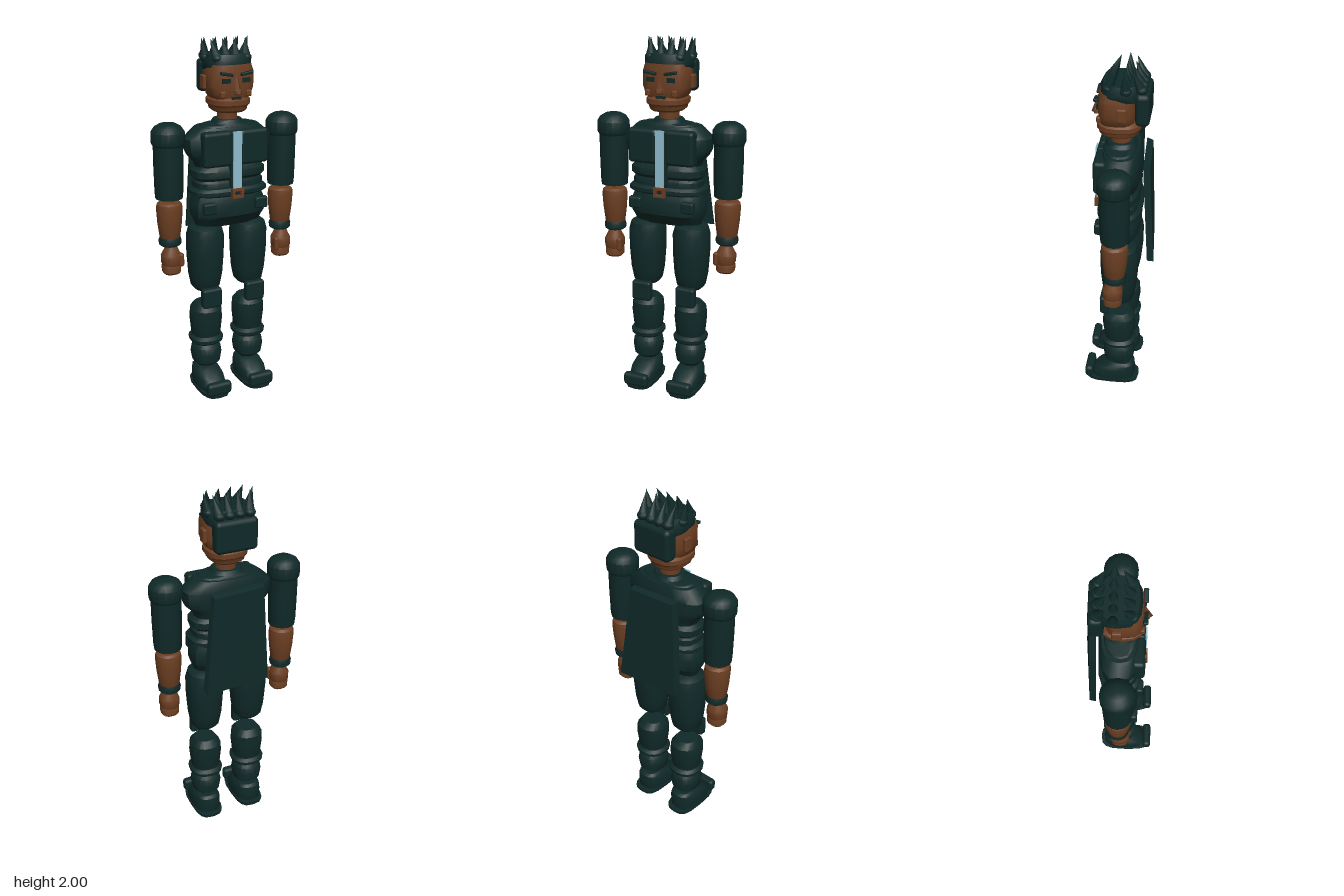
import * as THREE from 'three';
import { toCreasedNormals } from 'three/addons/utils/BufferGeometryUtils.js';
import { RoundedBoxGeometry } from 'three/addons/geometries/RoundedBoxGeometry.js';
import { ConvexGeometry } from 'three/addons/geometries/ConvexGeometry.js';

const material = (name, color) => {
  const m = new THREE.MeshStandardMaterial({ color });
  m.name = name;
  return m;
};

// Closed solid through cross-sections [y, halfWidth, halfDepth, centreZ]; power 2 is round, higher is boxier
function loft(rows, power = 2, sides = 16) {
  const pos = [], idx = [];
  const bend = (v) => Math.sign(v) * Math.pow(Math.abs(v), 2 / power);
  for (const [y, hx, hz = hx, cz = 0] of rows) {
    for (let i = 0; i < sides; i++) {
      const a = (i / sides) * Math.PI * 2;
      pos.push(hx * bend(Math.cos(a)), y, cz + hz * bend(Math.sin(a)));
    }
  }
  const last = (rows.length - 1) * sides, bottom = rows.length * sides, top = bottom + 1;
  const end = rows[rows.length - 1];
  pos.push(0, rows[0][0], rows[0][3] || 0, 0, end[0], end[3] || 0);
  for (let i = 0; i < sides; i++) {
    const j = (i + 1) % sides;
    for (let r = 0; r < last; r += sides) {
      idx.push(r + i, r + sides + i, r + j, r + j, r + sides + i, r + sides + j);
    }
    idx.push(bottom, i, j, top, last + j, last + i);
  }
  const g = new THREE.BufferGeometry();
  g.setAttribute('position', new THREE.Float32BufferAttribute(pos, 3));
  g.setIndex(idx);
  return toCreasedNormals(g, 0.6);
}

export function createModel() {
  const model = new THREE.Group();
  model.name = 'figure';
  const cloth = material('dark teal cloth', 0x0f2928);
  const skin = material('brown skin', 0x6b3e22);
  const blue = material('pale blue', 0x8fbccd);

  const add = (name, geometry, mat, x = 0, y = 0, z = 0, parent = model) => {
    const mesh = new THREE.Mesh(geometry, mat);
    mesh.name = name;
    mesh.position.set(x, y, z);
    parent.add(mesh);
    return mesh;
  };
  const block = (w, h, d, r = 0.01) => new RoundedBoxGeometry(w, h, d, 2, r);

  // Torso
  add('chest', loft([
    [1.3, 0.18, 0.09], [1.35, 0.195, 0.1], [1.39, 0.235, 0.11], [1.42, 0.25, 0.11],
    [1.48, 0.25, 0.11], [1.525, 0.2, 0.1], [1.54, 0.18, 0.095],
  ], 2.6), cloth, 0, 0, -0.005);
  add('collar', loft([[1.53, 0.17, 0.09], [1.548, 0.15, 0.085], [1.555, 0.09, 0.08], [1.575, 0.075, 0.07]], 2.4), cloth);
  add('upperWaist', loft([[1.25, 0.19, 0.095], [1.27, 0.212, 0.11], [1.305, 0.212, 0.11], [1.33, 0.18, 0.095]], 2.8), cloth);
  add('lowerWaist', loft([[1.19, 0.18, 0.09], [1.21, 0.2, 0.105], [1.24, 0.2, 0.105], [1.265, 0.18, 0.09]], 2.8), cloth);
  add('belt', loft([[1.165, 0.2, 0.11], [1.175, 0.222, 0.122], [1.195, 0.222, 0.122], [1.21, 0.2, 0.11]], 3), cloth);
  add('hips', loft([
    [0.985, 0.19, 0.06], [1.02, 0.2, 0.085], [1.05, 0.213, 0.11], [1.12, 0.213, 0.115], [1.165, 0.195, 0.1],
  ], 2.8), cloth);
  add('tie', new THREE.BoxGeometry(0.05, 0.31, 0.009), blue, 0, 1.37, 0.129);
  add('shirtFront', block(0.07, 0.31, 0.04), cloth, 0, 1.37, 0.105);

  // Belt buckle: an open square frame
  const frame = new THREE.Shape([[-0.034, -0.026], [0.034, -0.026], [0.034, 0.026], [-0.034, 0.026]]
    .map(([x, y]) => new THREE.Vector2(x, y)));
  frame.holes.push(new THREE.Path([[-0.018, -0.013], [-0.018, 0.013], [0.018, 0.013], [0.018, -0.013]]
    .map(([x, y]) => new THREE.Vector2(x, y))));
  add('buckle', new THREE.ExtrudeGeometry(frame, { depth: 0.025, bevelEnabled: false }), skin, 0, 1.186, 0.118);

  // Back panel: a slanted, slightly twisted slab, wider at its lower edge
  const panel = [];
  for (const [x, y, z] of [[0.14, 1.49, -0.13], [-0.16, 1.5, -0.12], [0.205, 0.945, -0.165], [-0.19, 0.945, -0.135]]) {
    panel.push(new THREE.Vector3(x, y, z), new THREE.Vector3(x * 0.95, y - 0.01, z - 0.035));
  }
  add('backPanel', new ConvexGeometry(panel), cloth);

  // Neck and head
  add('neck', loft([[1.55, 0.055], [1.64, 0.055]]), skin);
  add('jaw', loft([
    [1.618, 0.08, 0.09], [1.63, 0.095, 0.105], [1.65, 0.1, 0.11], [1.66, 0.112, 0.118],
    [1.685, 0.112, 0.118], [1.7, 0.095, 0.1],
  ], 2.5), skin, 0, 0, 0.008);
  add('face', loft([
    [1.68, 0.09, 0.085], [1.71, 0.115, 0.094], [1.75, 0.128, 0.097], [1.83, 0.128, 0.097], [1.87, 0.115, 0.09],
  ], 3), skin, 0, 0, 0.017);
  const nose = add('nose', new THREE.ConeGeometry(0.03, 0.1, 4), skin, 0, 1.775, 0.118);
  nose.scale.set(0.9, 1, 1.2);
  add('noseTip', block(0.036, 0.03, 0.03, 0.008), skin, 0, 1.732, 0.125);
  add('mouth', new THREE.BoxGeometry(0.055, 0.014, 0.009), cloth, 0, 1.698, 0.112);

  // Hair: a cap, a rounded back and three rows of leaning spikes
  add('hairCap', loft([
    [1.835, 0.118, 0.095, -0.03], [1.86, 0.128, 0.112, -0.008], [1.89, 0.126, 0.112, -0.008], [1.92, 0.115, 0.1, -0.01],
  ], 2.6), cloth);
  add('backHair', block(0.235, 0.175, 0.075, 0.025), cloth, 0, 1.795, -0.117);
  for (const [count, z, tipZ] of [[4, 0.055, 0.01], [5, -0.035, -0.03], [4, -0.11, -0.07]]) {
    for (let i = 0; i < count; i++) {
      const x = (i - (count - 1) / 2) * 0.055;
      const tuft = add('hairTuft', new THREE.SphereGeometry(0.031, 12, 8), cloth, x, 1.9, z);
      tuft.scale.y = 0.8;
      const from = new THREE.Vector3(x, 1.895, z), to = new THREE.Vector3(x * 1.22, 2, tipZ);
      const dir = to.clone().sub(from);
      const spike = add('hairSpike', new THREE.ConeGeometry(0.03, dir.length(), 10), cloth);
      spike.position.copy(from).addScaledVector(dir, 0.5);
      spike.quaternion.setFromUnitVectors(new THREE.Vector3(0, 1, 0), dir.normalize());
    }
  }

  // Shared limb shapes
  const shoulderShape = loft([[1.455, 0.082], [1.47, 0.09], [1.53, 0.09], [1.555, 0.074], [1.572, 0.045]]);
  const upperArmShape = loft([[1.168, 0.074], [1.2, 0.077], [1.35, 0.08], [1.5, 0.08]]);
  const forearmShape = loft([[0.925, 0.048], [0.945, 0.056], [1.03, 0.067], [1.11, 0.072], [1.135, 0.068], [1.146, 0.055]]);
  const cuffShape = loft([[0.9, 0.052], [0.908, 0.061], [0.93, 0.063], [0.952, 0.055]]);
  const palmShape = loft([[0.78, 0.045], [0.805, 0.055], [0.845, 0.055], [0.875, 0.04], [0.9, 0.03]], 2.4);
  const fingerShape = loft([[0.74, 0.042, 0.042], [0.75, 0.05, 0.05], [0.785, 0.052, 0.05], [0.8, 0.045, 0.045]], 2.6);
  const thighShape = loft([
    [0.61, 0.06], [0.632, 0.08], [0.7, 0.093], [0.82, 0.101, 0.105], [0.93, 0.102, 0.107], [0.975, 0.09, 0.095], [0.995, 0.06],
  ], 2.3);
  const shinShape = loft([[0.305, 0.075], [0.34, 0.082], [0.43, 0.09, 0.095], [0.49, 0.086, 0.093], [0.525, 0.062]], 2.3);
  const shinBandShape = loft([[0.28, 0.078], [0.295, 0.094, 0.097], [0.315, 0.097, 0.1], [0.33, 0.08]], 2.3);
  const ankleShape = loft([[0.142, 0.058], [0.165, 0.078, 0.085], [0.215, 0.086, 0.093], [0.255, 0.08, 0.085], [0.285, 0.06]], 2.3);
  const shoeShape = loft([
    [0.015, 0.078, 0.125, 0.03], [0.045, 0.081, 0.13, 0.03], [0.085, 0.079, 0.115, 0.015], [0.115, 0.07, 0.085, -0.01],
    [0.13, 0.055, 0.065, -0.015],
  ], 2.7);
  const soleShape = loft([[0, 0.081, 0.157, 0.037], [0.02, 0.084, 0.16, 0.037]], 3.2);

  for (const side of [1, -1]) {
    const label = side > 0 ? 'left' : 'right';

    // Chest plate and belt pouch
    add(label + 'ChestPlate', block(0.165, 0.19, 0.07, 0.02), cloth, side * 0.108, 1.432, 0.092);
    add(label + 'Pouch', block(0.075, 0.065, 0.04, 0.012), cloth, side * 0.155, 1.11, 0.105);

    // Face details
    add(label + 'Eye', new THREE.BoxGeometry(0.045, 0.024, 0.009), cloth, side * 0.058, 1.79, 0.113);
    const brow = add(label + 'Brow', block(0.07, 0.016, 0.025, 0.005), cloth, side * 0.058, 1.826, 0.118);
    brow.rotation.z = side * 0.18;
    add(label + 'Cheek', block(0.03, 0.035, 0.025, 0.008), skin, side * 0.075, 1.72, 0.105);
    add(label + 'Ear', block(0.024, 0.075, 0.05, 0.008), skin, side * 0.13, 1.775, -0.017);

    // Arm
    const arm = new THREE.Group();
    arm.name = label + 'Arm';
    arm.position.set(side * 0.342, 0, -0.008);
    model.add(arm);
    add('shoulder', shoulderShape, cloth, 0, 0, 0, arm);
    add('upperArm', upperArmShape, cloth, 0, 0, 0, arm);
    add('forearm', forearmShape, skin, 0, 0, 0, arm);
    add('cuff', cuffShape, cloth, 0, 0, 0, arm);
    add('palm', palmShape, skin, 0, 0, 0.012, arm);
    add('fingers', fingerShape, skin, 0, 0, 0.012, arm);
    add('thumb', block(0.03, 0.075, 0.035, 0.012), skin, side * -0.045, 0.82, 0.045, arm);

    // Leg
    const leg = new THREE.Group();
    leg.name = label + 'Leg';
    leg.position.x = side * 0.134;
    model.add(leg);
    add('thigh', thighShape, cloth, 0, 0, -0.006, leg);
    add('kneePad', block(0.115, 0.115, 0.05, 0.015), cloth, 0, 0.578, 0.077, leg);
    add('shin', shinShape, cloth, 0, 0, -0.004, leg);
    add('shinBand', shinBandShape, cloth, 0, 0, -0.004, leg);
    add('ankle', ankleShape, cloth, 0, 0, -0.004, leg);
    add('shoe', shoeShape, cloth, 0, 0, 0, leg);
    add('sole', soleShape, cloth, 0, 0, 0, leg);
    add('toeCap', block(0.148, 0.075, 0.05, 0.02), cloth, 0, 0.053, 0.172, leg);
  }
  return model;
}
